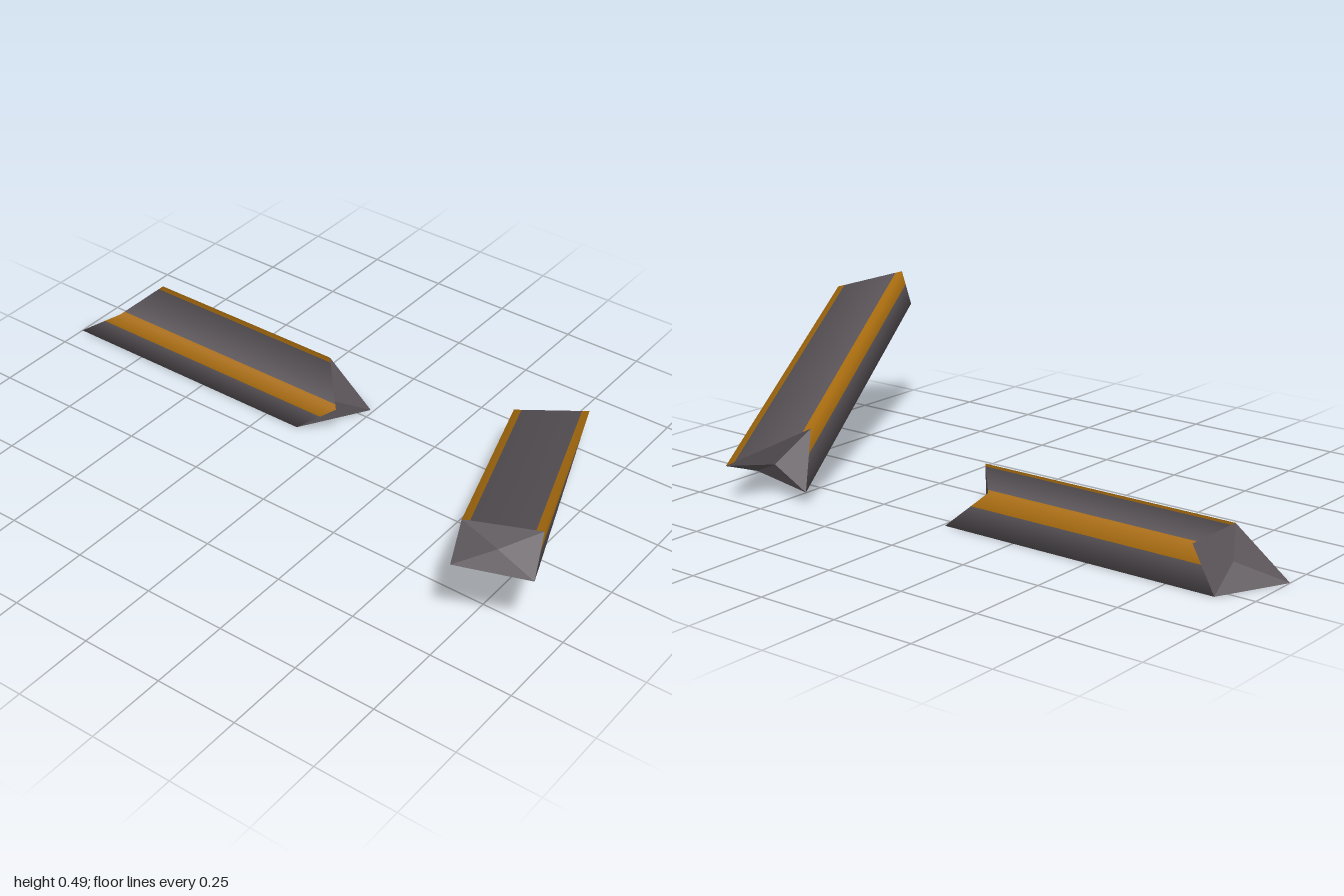
import * as THREE from 'three';

const grey = new THREE.MeshStandardMaterial({ color: 0x595357 });
grey.name = 'dark grey';
const orange = new THREE.MeshStandardMaterial({ color: 0xa86c0e });
orange.name = 'amber';

const vec = (p) => new THREE.Vector3(...p);

function makeMesh(name, material, tris, normals) {
  const geo = new THREE.BufferGeometry();
  geo.setAttribute('position', new THREE.Float32BufferAttribute(tris.flatMap((v) => v.toArray()), 3));
  if (normals) geo.setAttribute('normal', new THREE.Float32BufferAttribute(normals.flatMap((v) => v.toArray()), 3));
  else geo.computeVertexNormals();
  const mesh = new THREE.Mesh(geo, material);
  mesh.name = name;
  return mesh;
}

// Four-sided bar between two obliquely cut ends.
// Corners of each end run: top near, top far, bottom far, bottom near.
function makeBar(name, startPoints, endPoints) {
  const bar = new THREE.Group();
  bar.name = name;
  const s = startPoints.map(vec), e = endPoints.map(vec);

  // Softly shaded long sides: average the two faces meeting at each edge
  const faceNormals = s.map((p, i) => {
    const along = e[i].clone().sub(p);
    return along.cross(s[(i + 1) % 4].clone().sub(p)).normalize();
  });
  const edgeNormals = faceNormals.map((n, i) => n.clone().add(faceNormals[(i + 3) % 4]).normalize());

  // Each side is split lengthwise: [from, to, painted]
  const sides = [
    ['top', [[0, 0.1, 1], [0.1, 0.9, 0], [0.9, 1, 1]]],
    ['farSide', [[0, 0.4, 1], [0.4, 1, 0]]],
    ['underside', [[0, 1, 0]]],
    ['nearSide', [[0, 0.6, 0], [0.6, 1, 1]]],
  ];
  sides.forEach(([side, bands], i) => {
    const j = (i + 1) % 4;
    for (const [a, b, painted] of bands) {
      const sa = s[i].clone().lerp(s[j], a), sb = s[i].clone().lerp(s[j], b);
      const ea = e[i].clone().lerp(e[j], a), eb = e[i].clone().lerp(e[j], b);
      const na = edgeNormals[i].clone().lerp(edgeNormals[j], a).normalize();
      const nb = edgeNormals[i].clone().lerp(edgeNormals[j], b).normalize();
      bar.add(makeMesh(side + (painted ? 'Stripe' : ''), painted ? orange : grey,
        [sa, ea, eb, sa, eb, sb], [na, na, nb, na, nb, nb]));
    }
  });

  // Faceted end caps fanned around their middle point
  [['slantedEnd', s, false], ['notchedEnd', e, true]].forEach(([label, c, flip]) => {
    const mid = c.reduce((sum, p) => sum.add(p), new THREE.Vector3()).multiplyScalar(0.25);
    const tris = c.flatMap((p, i) => {
      const q = c[(i + 1) % 4];
      return flip ? [mid, q, p] : [mid, p, q];
    });
    bar.add(makeMesh(label, grey, tris));
  });
  return bar;
}

export function createModel() {
  const model = new THREE.Group();
  model.name = 'stripedBars';

  // Bar lying flat
  model.add(makeBar('flatBar',
    [[-0.83, 0.128, -0.082], [-0.83, 0.128, -0.287], [-0.9, 0, -0.287], [-1, 0, -0.082]],
    [[0.01, 0.128, -0.082], [-0.165, 0.128, -0.287], [-0.01, 0, -0.287], [-0.135, 0, -0.082]]));

  // Longer bar raised at its front end
  model.add(makeBar('tiltedBar',
    [[0.98, 0.436, 0.36], [0.822, 0.485, 0.495], [0.822, 0.369, 0.538], [1, 0.33, 0.427]],
    [[0.598, 0.118, -0.536], [0.475, 0.2, -0.31], [0.42, 0.038, -0.395], [0.65, 0.05, -0.36]]));
  return model;
}
